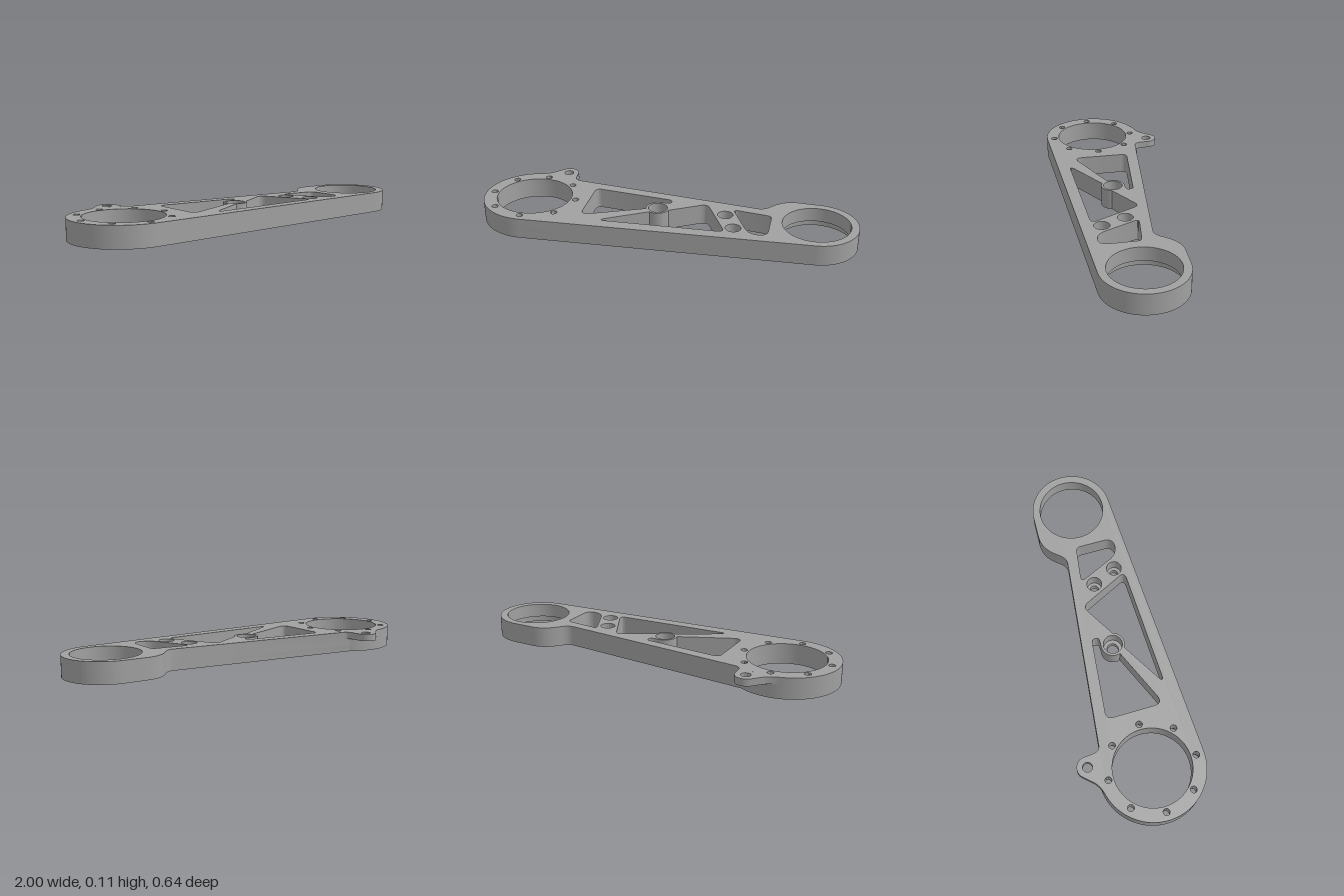
import * as THREE from 'three';
import { toCreasedNormals } from 'three/addons/utils/BufferGeometryUtils.js';

// Plan shapes are drawn with y pointing to the back, then laid flat
const BIG = { x: -0.7275, y: -0.0455, r: 0.2725 };
const SMALL = { x: 0.7845, y: -0.0455, r: 0.2155 };
const BOSS = { x: -0.045, y: -0.041, r: 0.063 };
const TOP = 0.11, STEP = 0.035, LUG_BASE = 0.073;

const circle = (x, y, r) => new THREE.Path().absarc(x, y, r, 0, Math.PI * 2, false);

// Points along the round boss, from one angle to another in degrees
function bossArc(from, to) {
  return Array.from({ length: 13 }, (_, i) => {
    const a = THREE.MathUtils.degToRad(from + (to - from) * i / 12);
    return [BOSS.x + BOSS.r * Math.cos(a), BOSS.y + BOSS.r * Math.sin(a), 0];
  });
}

// Closed path through [x, y, trim] corners, each rounded by its trim length
function roundedPath(corners) {
  const path = new THREE.Path();
  const n = corners.length;
  const v = corners.map(([x, y]) => new THREE.Vector2(x, y));
  const toward = (a, b, d) => a.clone().add(b.clone().sub(a).setLength(d));
  v.forEach((p, i) => {
    const trim = corners[i][2];
    const start = trim ? toward(p, v[(i + n - 1) % n], trim) : p;
    if (i === 0) path.moveTo(start.x, start.y);
    else path.lineTo(start.x, start.y);
    if (trim) {
      const end = toward(p, v[(i + 1) % n], trim);
      path.quadraticCurveTo(p.x, p.y, end.x, end.y);
    }
  });
  path.closePath();
  return path;
}

// Lightening windows between the ribs
const windows = () => [
  roundedPath([
    [-0.425, 0.106, 0.035], [0.012, 0.058, 0.018], [0.012, 0.021, 0.018],
    ...bossArc(80, 200), [-0.425, -0.2, 0.055],
  ]),
  roundedPath([
    [-0.325, -0.238, 0.05], ...bossArc(238, 345),
    [0.204, 0.053, 0.04], [0.338, -0.219, 0.04],
  ]),
  roundedPath([
    [0.347, 0.02, 0.03], [0.552, -0.008, 0.025],
    [0.552, -0.215, 0.05], [0.456, -0.215, 0.06],
  ]),
];

// Outline of the arm with its windows and bores
function armShape(smallBore, boltRadius, bossRadius, pinRadius) {
  const s = new THREE.Shape();
  const a = -Math.PI / 2 + 0.0377;
  s.moveTo(BIG.x + BIG.r * Math.cos(a), BIG.y + BIG.r * Math.sin(a));
  s.absarc(SMALL.x, SMALL.y, SMALL.r, a, Math.PI / 2, false);
  s.lineTo(0.67, 0.174);
  s.bezierCurveTo(0.6, 0.174, 0.56, 0.13, 0.534, 0.096);
  s.quadraticCurveTo(0.505, 0.058, 0.47, 0.0625);
  s.absarc(BIG.x, BIG.y, BIG.r, 1.015, a + Math.PI * 2, false);

  s.holes.push(
    ...windows(),
    circle(BIG.x, BIG.y, 0.202),
    circle(SMALL.x, SMALL.y, smallBore),
    circle(BOSS.x, BOSS.y, bossRadius),
    circle(0.314, -0.043, pinRadius),
    circle(0.374, -0.171, pinRadius),
  );
  for (let i = 0; i < 8; i++) {
    const t = i * Math.PI / 4;
    s.holes.push(circle(BIG.x + 0.23 * Math.cos(t), BIG.y + 0.23 * Math.sin(t), boltRadius));
  }
  return s;
}

// Thin ear on the back of the large ring
function lugShape() {
  const s = new THREE.Shape();
  s.moveTo(BIG.x + BIG.r * Math.cos(1.8), BIG.y + BIG.r * Math.sin(1.8));
  s.quadraticCurveTo(-0.745, 0.23, -0.72, 0.255);
  s.absarc(-0.636, 0.266, 0.055, 2.36, -0.08, true);
  s.lineTo(-0.577, 0.215);
  s.quadraticCurveTo(-0.572, 0.186, -0.545, 0.1814);
  s.absarc(BIG.x, BIG.y, BIG.r, 1.015, 1.8, false);
  s.holes.push(circle(-0.636, 0.266, 0.025));
  return s;
}

export function createModel() {
  const group = new THREE.Group();
  group.name = 'linkArm';
  const metal = new THREE.MeshStandardMaterial({ color: 0xa0a0a0 });
  metal.name = 'grey metal';

  const addSlab = (name, shape, bottom, top) => {
    const geo = new THREE.ExtrudeGeometry(shape, {
      depth: top - bottom, bevelEnabled: false, curveSegments: 36,
    });
    geo.rotateX(-Math.PI / 2);
    geo.translate(0, bottom, 0);
    const mesh = new THREE.Mesh(toCreasedNormals(geo, 0.6), metal);
    mesh.name = name;
    group.add(mesh);
  };

  // Lower layer: wide bearing seat and bolt recesses; upper layer: boss recesses
  addSlab('lowerArm', armShape(0.195, 0.024, 0.03, 0.023), 0, STEP);
  addSlab('upperArm', armShape(0.175, 0.017, 0.05, 0.04), STEP, TOP);
  addSlab('mountingLug', lugShape(), LUG_BASE, TOP);
  return group;
}
